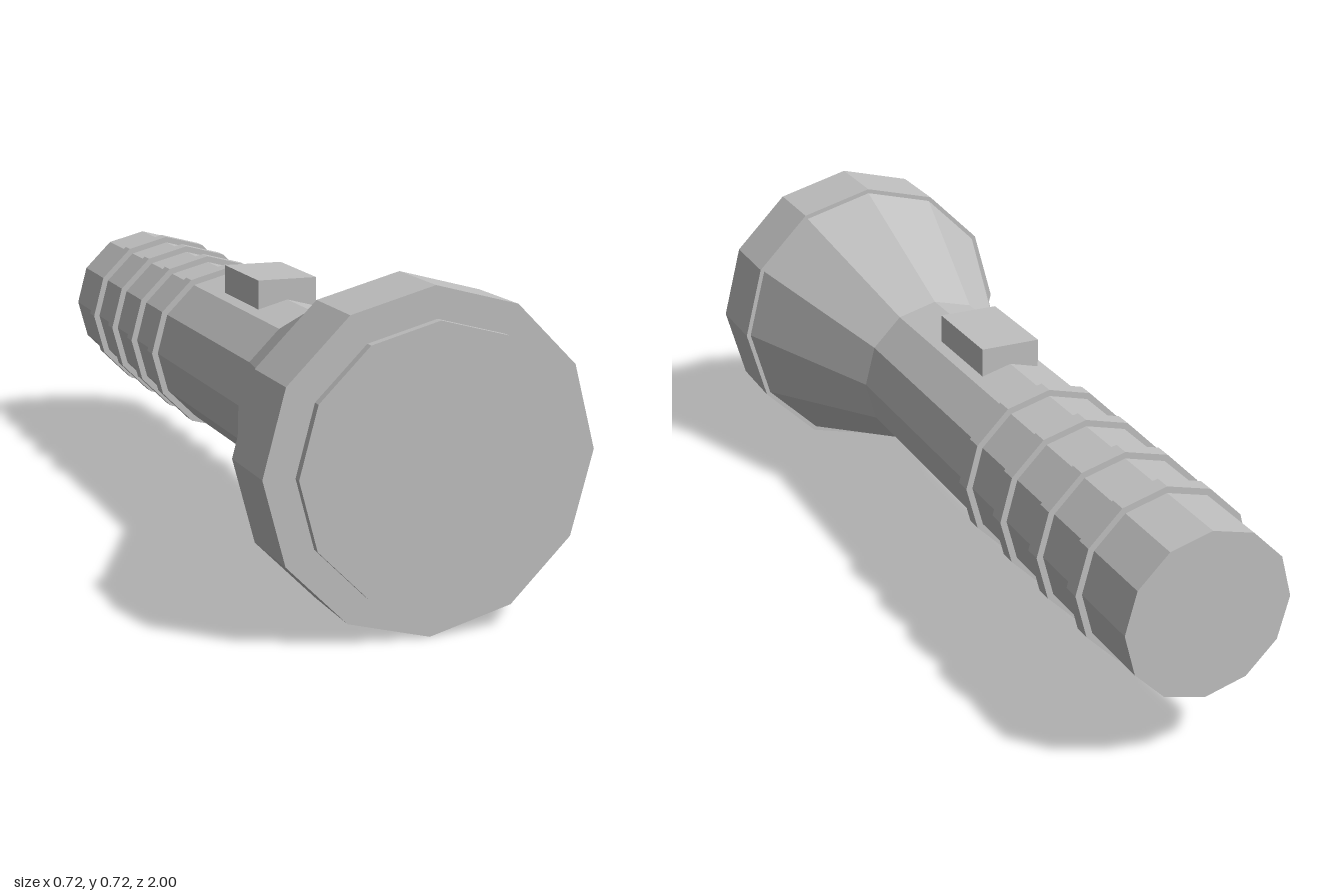
import * as THREE from 'three';

const SIDES = 12;
const AXIS_Y = 0.3595;

export function createModel() {
  const model = new THREE.Group();
  model.name = 'flashlight';

  const grey = new THREE.MeshStandardMaterial({ color: 0xc0c0c0 });
  grey.name = 'plain grey';
  grey.flatShading = true;

  // Twelve-sided section lying along z, from zBack to zFront
  function section(name, zBack, zFront, rBack, rFront = rBack) {
    const geometry = new THREE.CylinderGeometry(rFront, rBack, zFront - zBack, SIDES);
    geometry.rotateX(Math.PI / 2);
    const mesh = new THREE.Mesh(geometry, grey);
    mesh.name = name;
    mesh.position.set(0, AXIS_Y, (zBack + zFront) / 2);
    model.add(mesh);
  }

  // Handle, flared neck and head
  section('handle', -1, 0.363, 0.192);
  section('flaredNeck', 0.363, 0.797, 0.192, 0.347);
  section('headRim', 0.797, 0.973, 0.358);

  // Lens disc, set just ahead of the rim
  section('lens', 0.981, 1, 0.293);

  // Grip rings
  for (let i = 0; i < 4; i++) {
    const z = -0.26 - i * 0.179;
    section(`gripRing${i + 1}`, z - 0.02, z + 0.02, 0.207);
  }

  // Switch on top of the handle
  const button = new THREE.Mesh(new THREE.BoxGeometry(0.143, 0.07, 0.236), grey);
  button.name = 'switch';
  button.position.set(0, 0.565, 0.042);
  model.add(button);

  return model;
}
